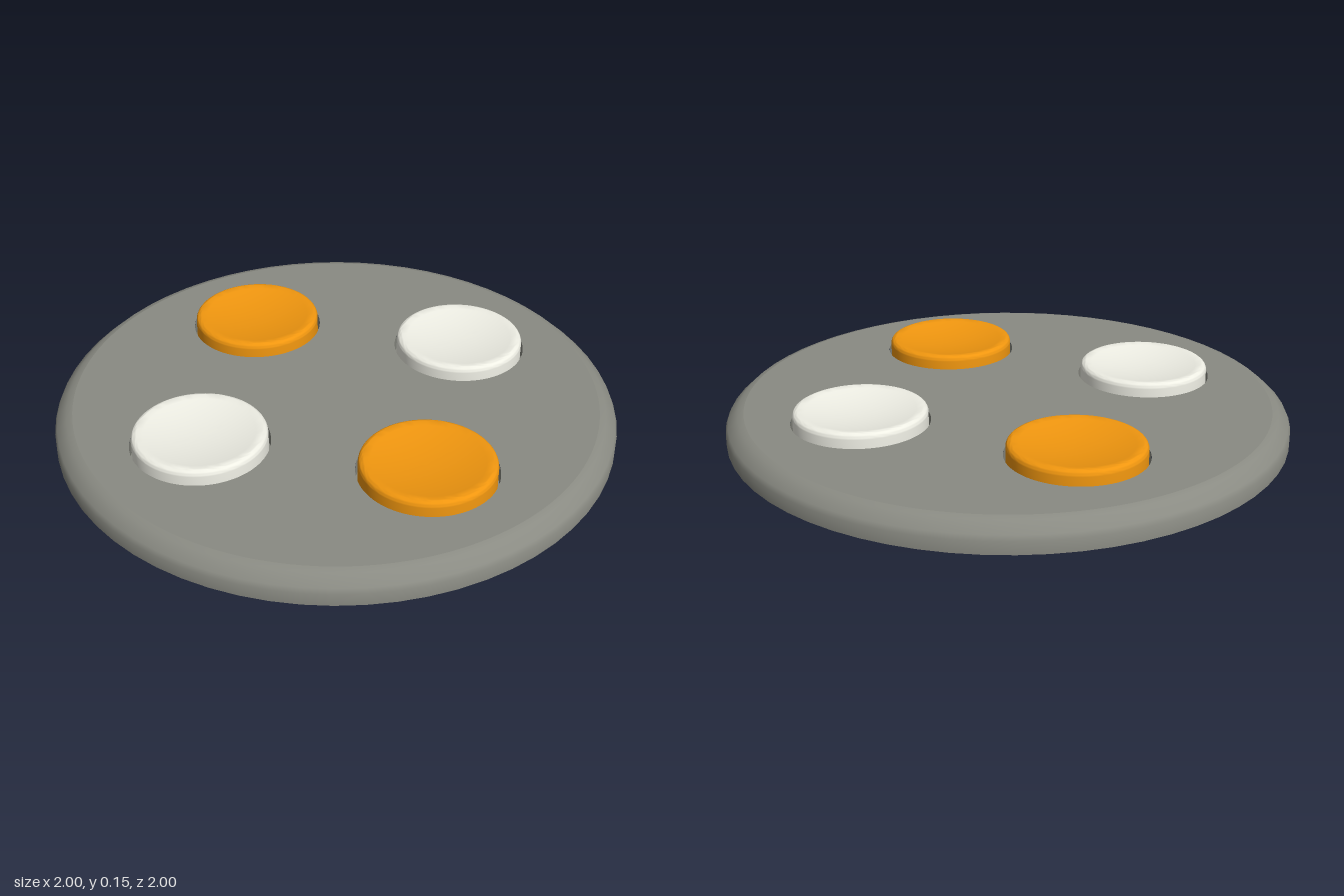
import * as THREE from 'three';
import { toCreasedNormals } from 'three/addons/utils/BufferGeometryUtils.js';

const SEG = 64, TOP = 0.1, OFFSET = 0.553, POCKET_R = 0.241, FLOOR = 0.04;

const material = (color) => new THREE.MeshStandardMaterial({ color });

// Turned part from [radius, height] pairs, with sharp corners kept
function turned(name, profile, mat) {
  const points = profile.map(([r, y]) => new THREE.Vector2(r, y));
  const geometry = toCreasedNormals(new THREE.LatheGeometry(points, SEG), 0.7);
  const mesh = new THREE.Mesh(geometry, mat);
  mesh.name = name;
  return mesh;
}

export function createModel() {
  const model = new THREE.Group();
  model.name = 'buttonPad';
  const grey = material(0x8a8b83);
  const orange = material(0xf0960f);
  const white = material(0xeeeee4);
  const spots = [
    { name: 'left', x: OFFSET, z: 0, mat: white },
    { name: 'right', x: -OFFSET, z: 0, mat: white },
    { name: 'front', x: 0, z: OFFSET, mat: orange },
    { name: 'back', x: 0, z: -OFFSET, mat: orange },
  ];

  // Base: closed underside, short wall and softened bevel
  model.add(turned('baseShell', [
    [0, 0], [1, 0], [1, 0.045], [0.992, 0.062], [0.957, 0.094], [0.935, TOP],
  ], grey));

  // Top plate with one round opening per button
  const plate = new THREE.Shape().absarc(0, 0, 0.935, 0, Math.PI * 2);
  for (const { x, z } of spots) {
    plate.holes.push(new THREE.Path().absarc(x, -z, POCKET_R, 0, Math.PI * 2, true));
  }
  const topPlate = new THREE.Mesh(
    new THREE.ShapeGeometry(plate, SEG).rotateX(-Math.PI / 2).translate(0, TOP, 0), grey);
  topPlate.name = 'topPlate';
  model.add(topPlate);

  // Button profile: straight side, rounded rim, dished top
  const buttonProfile = [[0.233, FLOOR], [0.233, 0.128]];
  for (let i = 1; i <= 6; i++) {
    const a = (i / 6) * Math.PI / 2;
    buttonProfile.push([0.213 + 0.02 * Math.cos(a), 0.128 + 0.02 * Math.sin(a)]);
  }
  for (let i = 1; i <= 10; i++) {
    const t = 1 - i / 10;
    buttonProfile.push([0.213 * t, 0.148 - 0.024 * (1 - t * t)]);
  }

  for (const { name, x, z, mat } of spots) {
    const pocket = turned(name + 'Pocket', [[POCKET_R, TOP], [POCKET_R, FLOOR], [0, FLOOR]], grey);
    const button = turned(name + 'Button', buttonProfile, mat);
    pocket.position.set(x, 0, z);
    button.position.set(x, 0, z);
    model.add(pocket, button);
  }
  return model;
}
